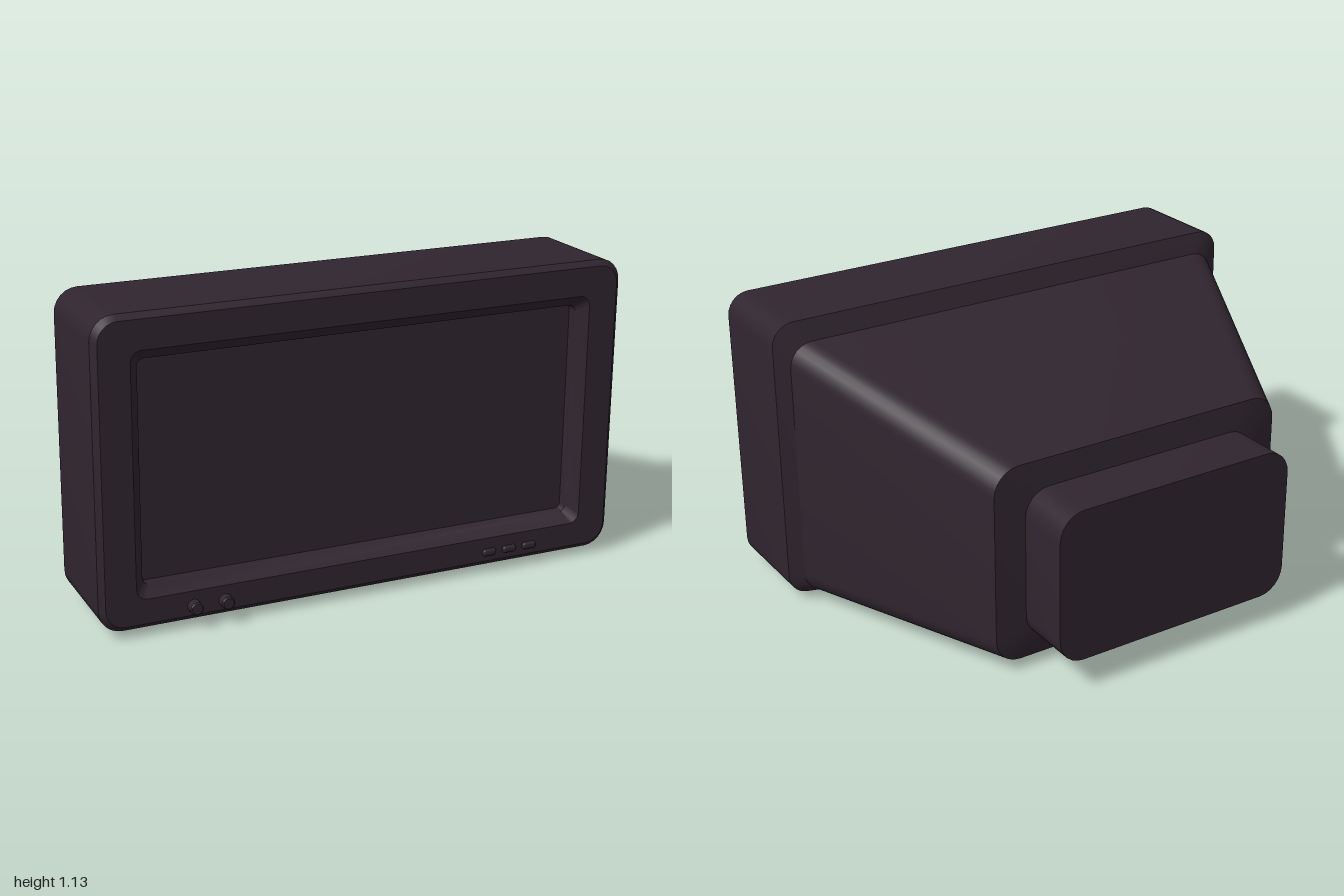
import * as THREE from 'three';
import { toCreasedNormals } from 'three/addons/utils/BufferGeometryUtils.js';
import { RoundedBoxGeometry } from 'three/addons/geometries/RoundedBoxGeometry.js';

// Rounded rectangle ring, counter-clockwise from the front: [z, halfWidth, bottom, top, radius]
function ring([z, w, y0, y1, r], steps = 6) {
  const centres = [[w - r, y1 - r], [r - w, y1 - r], [r - w, y0 + r], [w - r, y0 + r]];
  const pts = [];
  centres.forEach(([cx, cy], k) => {
    for (let i = 0; i <= steps; i++) {
      const a = (k + i / steps) * Math.PI / 2;
      pts.push([cx + r * Math.cos(a), cy + r * Math.sin(a), z]);
    }
  });
  return pts;
}

// Skin joining successive rings, with optional caps on the first and last ring
function loft(sections, capFirst = false, capLast = false) {
  const rings = sections.map((s) => ring(s));
  const n = rings[0].length;
  const index = [];
  for (let s = 0; s < rings.length - 1; s++) {
    for (let i = 0; i < n; i++) {
      const j = (i + 1) % n, a = s * n, b = a + n;
      index.push(a + i, b + i, a + j, a + j, b + i, b + j);
    }
  }
  const last = (rings.length - 1) * n;
  for (let i = 1; i < n - 1; i++) {
    if (capFirst) index.push(0, i, i + 1);
    if (capLast) index.push(last, last + i + 1, last + i);
  }
  const g = new THREE.BufferGeometry();
  g.setAttribute('position', new THREE.Float32BufferAttribute(rings.flat(2), 3));
  g.setIndex(index);
  return toCreasedNormals(g, 0.5);
}

export function createModel() {
  const model = new THREE.Group();
  model.name = 'monitor';
  const plastic = new THREE.MeshStandardMaterial({ color: 0x30252f });
  plastic.name = 'dark plum plastic';

  const add = (name, geometry, x = 0, y = 0, z = 0) => {
    const mesh = new THREE.Mesh(geometry, plastic);
    mesh.name = name;
    mesh.position.set(x, y, z);
    model.add(mesh);
    return mesh;
  };

  // Key outlines shared by neighbouring parts
  const glass = [0.67, 0.83, 0.175, 0.965, 0.02];
  const opening = [0.74, 0.87, 0.135, 1.01, 0.04];
  const frameBack = [0.335, 1, 0.025, 1.135, 0.085];
  const bodyFront = [0.30, 0.95, 0.035, 1.06, 0.09];
  const bodyBack = [-0.54, 0.61, 0.04, 0.81, 0.1];
  const neckFront = [-0.557, 0.495, 0.12, 0.71, 0.1];

  // Screen at the bottom of its recess
  add('screen', loft([glass, [0.66, 0.83, 0.175, 0.965, 0.02]], true));
  // Sloping surround of the screen
  add('screenSurround', loft([glass, [0.70, 0.835, 0.17, 0.97, 0.025], opening]));
  // Front frame with bevelled outer edge
  add('frontFrame', loft([
    opening,
    [0.74, 0.98, 0.045, 1.115, 0.07],
    [0.72, 1, 0.025, 1.135, 0.085],
    frameBack,
  ]));
  // Tapering housing and its shoulder
  add('rearHousing', loft([frameBack, bodyFront, bodyBack, neckFront]));
  // Boxy cover for the tube neck
  add('neckCover', loft([neckFront, [-0.775, 0.495, 0.12, 0.71, 0.1]], false, true));

  // Feet: wide apart in front, closer behind
  for (const side of [-1, 1]) {
    add('frontFoot', new RoundedBoxGeometry(0.13, 0.035, 0.095, 2, 0.01), side * 0.835, 0.0175, 0.613);
    add('rearFoot', new RoundedBoxGeometry(0.13, 0.03, 0.095, 2, 0.01), side * 0.43, 0.015, -0.443);
  }

  // Round knobs
  for (const x of [-0.665, -0.55]) {
    const profile = [[0, 0.038], [0.019, 0.038], [0.024, 0.033], [0.024, 0]];
    const points = profile.map(([r, h]) => new THREE.Vector2(r, h)).reverse();
    const knob = toCreasedNormals(new THREE.LatheGeometry(points, 20), 0.5);
    add('knob', knob, x, 0.08, 0.737).rotation.x = Math.PI / 2;
  }

  // Push buttons
  for (const x of [0.49, 0.573, 0.657]) {
    add('button', new RoundedBoxGeometry(0.055, 0.026, 0.03, 3, 0.01), x, 0.08, 0.739);
  }

  return model;
}
